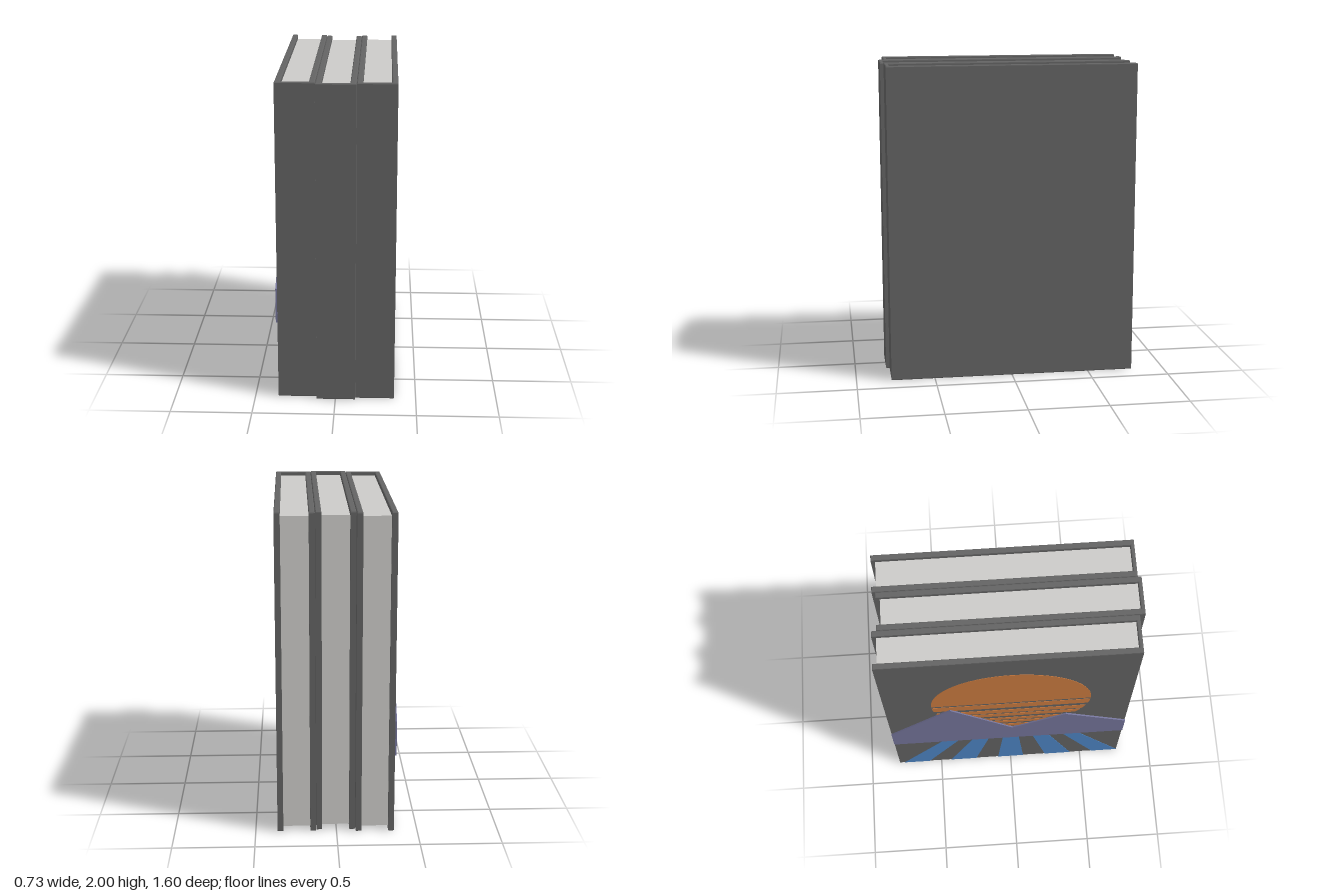
import * as THREE from 'three';

const mat = (name, color) => {
  const m = new THREE.MeshStandardMaterial({ color });
  m.name = name;
  return m;
};

export function createModel() {
  const group = new THREE.Group();
  group.name = 'bookSet';
  const cover = mat('coverGrey', 0x636363);
  const paper = mat('paper', 0xcccbc8);
  const orange = mat('sunOrange', 0xca7b40);
  const violet = mat('mountainViolet', 0x74749a);
  const blue = mat('rayBlue', 0x4d85c4);

  const add = (parent, name, geometry, material) => {
    const mesh = new THREE.Mesh(geometry, material);
    mesh.name = name;
    parent.add(mesh);
    return mesh;
  };

  // Books: two boards joined by a spine, with an inset block of pages
  const board = 0.036, spine = 0.024, inset = 0.026, bevel = 0.006;
  const addBook = (name, x0, x1, back, front) => {
    const book = new THREE.Group();
    book.name = name;
    const inner = front - spine;
    const outline = [
      [x0, back], [x0, front], [x1, front], [x1, back],
      [x1 - board, back], [x1 - board, inner], [x0 + board, inner], [x0 + board, back],
    ].map(([x, z]) => new THREE.Vector2(x, -z));
    const casing = new THREE.ExtrudeGeometry(new THREE.Shape(outline), {
      depth: 2 - 2 * bevel, bevelSize: bevel, bevelThickness: bevel,
      bevelOffset: -bevel, bevelSegments: 2,
    });
    casing.rotateX(-Math.PI / 2).translate(0, bevel, 0);
    add(book, 'cover', casing, cover);

    const pageBack = back + inset;
    const pages = add(book, 'pages', new THREE.BoxGeometry(
      x1 - x0 - 2 * board, 2 - 2 * inset, inner - pageBack), paper);
    pages.position.set((x0 + x1) / 2, 1, (inner + pageBack) / 2);
    group.add(book);
  };
  addBook('outerBookRight', -0.356, -0.118, -0.80, 0.766);
  addBook('middleBook', -0.116, 0.124, -0.77, 0.80);
  addBook('outerBookLeft', 0.126, 0.365, -0.79, 0.778);

  // Decorations lie on the -x cover; points are [z, y]
  const art = new THREE.Group();
  art.name = 'coverArt';
  group.add(art);
  const addPlate = (name, points, thickness, material) => {
    const shape = new THREE.Shape(points.map(([z, y]) => new THREE.Vector2(z, y)));
    const geometry = new THREE.ExtrudeGeometry(shape, { depth: thickness, bevelEnabled: false });
    geometry.rotateY(-Math.PI / 2).translate(-0.356, 0, 0);
    add(art, name, geometry, material);
  };

  // Sun: a disc cut into horizontal bands
  const radius = 0.505, sunY = 1.25;
  const addBand = (low, high) => {
    const a0 = Math.asin((low - sunY) / radius), a1 = Math.asin((high - sunY) / radius);
    const steps = Math.max(4, Math.ceil((a1 - a0) * 16));
    const right = [], left = [];
    for (let i = 0; i <= steps; i++) {
      const a = a0 + (a1 - a0) * i / steps;
      const z = radius * Math.cos(a), y = sunY + radius * Math.sin(a);
      right.push([z, y]);
      left.unshift([-z, y]);
    }
    addPlate('sunBand', [...right, ...left], 0.002, orange);
  };
  const gaps = [[1.23, 0.024], [1.12, 0.042], [1.03, 0.02], [0.95, 0.036], [0.88, 0.02], [0.81, 0.03]];
  let top = sunY + radius * 0.9999;
  for (const [y, width] of gaps) {
    addBand(y + width / 2, top);
    top = y - width / 2;
  }
  addBand(sunY - radius * 0.9999, top);

  // Mountain range
  addPlate('mountains', [
    [-0.8, 0.5], [0.768, 0.5], [0.768, 0.72], [0.36, 0.95],
    [0.01, 0.725], [-0.39, 1.17], [-0.8, 0.72],
  ], 0.0098, violet);

  // Rays narrowing towards the mountains
  for (let i = -2; i <= 2; i++) {
    const z0 = i * 0.338 - 0.09, z1 = i * 0.338 + 0.09, k = 0.59;
    addPlate('ray', [[z0, 0.004], [z1, 0.004], [z1 * k, 0.505], [z0 * k, 0.505]], 0.002, blue);
  }
  return group;
}
